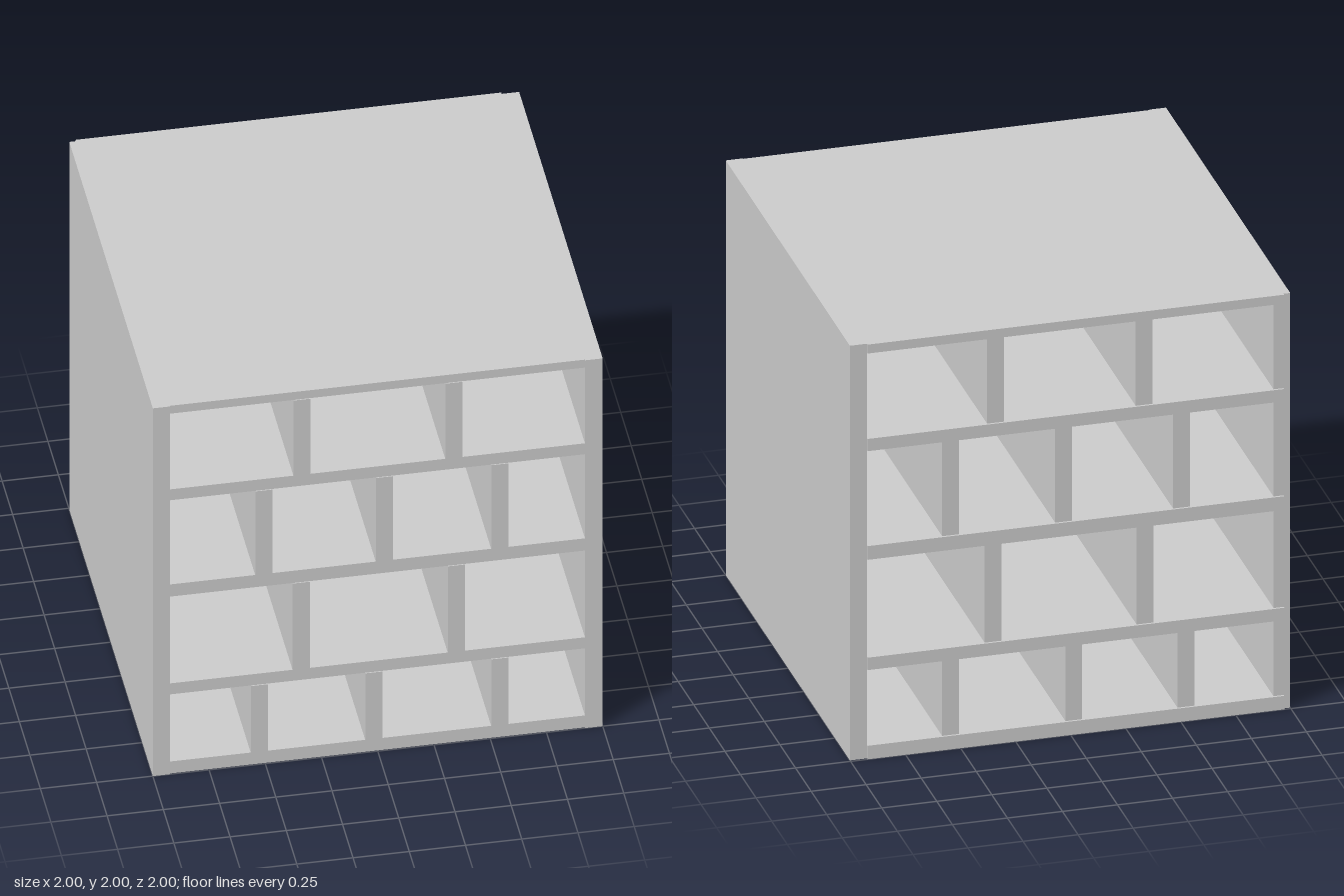
import * as THREE from 'three';

export function createModel() {
  const group = new THREE.Group();
  const material = new THREE.MeshStandardMaterial({ color: 0xcccccc, flatShading: true });

  // A board given by its extents along each axis
  function board(name, [x0, x1], [y0, y1], [z0, z1]) {
    const mesh = new THREE.Mesh(new THREE.BoxGeometry(x1 - x0, y1 - y0, z1 - z0), material);
    mesh.name = name;
    mesh.position.set((x0 + x1) / 2, (y0 + y1) / 2, (z0 + z1) / 2);
    group.add(mesh);
  }

  // Upright boards sit slightly further forward than the shelves
  const uprightZ = [-0.99, 1];
  const shelfZ = [-1, 0.995];
  const thickness = 0.076;

  // Side panels
  board('rightSidePanel', [-1, -0.924], [0, 2], uprightZ);
  board('leftSidePanel', [0.922, 1], [0, 2], uprightZ);

  // Horizontal boards, bottom to top, let into the right side panel
  const shelves = [[0, 0.065], [0.43, 0.49], [0.962, 1.028], [1.486, 1.545], [1.957, 2]];
  const names = ['bottomBoard', 'shelf1', 'shelf2', 'shelf3', 'topBoard'];
  shelves.forEach((y, i) => board(names[i], [-0.97, 0.922], y, shelfZ));

  // Dividers of each row, by the x of their centres
  const rows = [
    [-0.526, -0.017, 0.543],
    [-0.34, 0.35],
    [-0.506, 0.03, 0.543],
    [-0.336, 0.339],
  ];
  rows.forEach((centres, row) => {
    const y = [shelves[row][1], shelves[row + 1][0]];
    centres.forEach((x, i) =>
      board(`dividerRow${row + 1}_${i + 1}`, [x - thickness / 2, x + thickness / 2], y, uprightZ));
  });

  return group;
}
